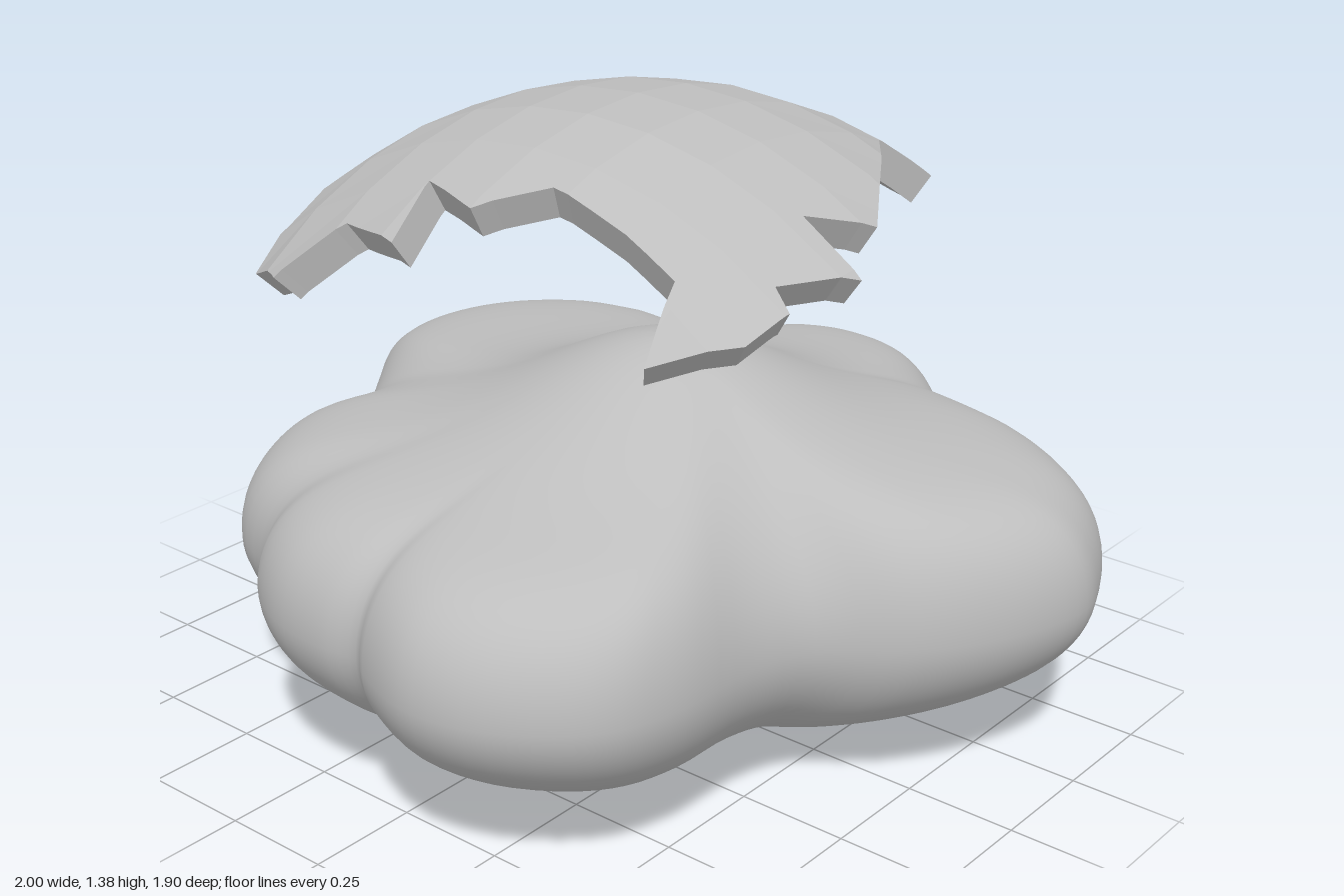
import * as THREE from 'three';

// Outline of the body at its widest level (x, z)
const OUTLINE = [
  [-0.05, -0.95], [0.08, -0.94], [0.20, -0.88], [0.30, -0.79], [0.35, -0.74], [0.42, -0.73],
  [0.55, -0.69], [0.70, -0.63], [0.80, -0.57], [0.90, -0.48], [0.97, -0.35], [1.00, -0.25],
  [0.97, -0.10], [0.90, 0.04], [0.82, 0.14], [0.68, 0.26], [0.63, 0.40], [0.62, 0.60],
  [0.58, 0.74], [0.50, 0.84], [0.35, 0.93], [0.20, 0.95], [0.05, 0.90], [0.00, 0.87],
  [-0.10, 0.88], [-0.25, 0.86], [-0.38, 0.79], [-0.45, 0.71], [-0.60, 0.64], [-0.70, 0.53],
  [-0.77, 0.38], [-0.77, 0.23], [-0.78, 0.12], [-0.82, 0.05], [-0.90, -0.06], [-0.97, -0.16],
  [-1.00, -0.30], [-0.97, -0.45], [-0.90, -0.56], [-0.77, -0.66], [-0.60, -0.70],
  [-0.48, -0.71], [-0.35, -0.75], [-0.22, -0.86], [-0.14, -0.92],
];

// Lumpy body: rings of the outline shrinking to the belly below and the hump above
function bodyGeometry() {
  const around = 180, rows = 64, waist = 0.41, hump = [0.14, 0.07];
  const curve = new THREE.CatmullRomCurve3(OUTLINE.map(([x, z]) => new THREE.Vector3(x, 0, z)), true);
  const points = [], index = [];
  for (let j = 0; j <= rows; j++) {
    const phi = (j / rows - 0.5) * Math.PI;
    const u = Math.cos(phi), above = phi > 0;
    for (let i = 0; i < around; i++) {
      const p = curve.getPoint(i / around);
      const reach = Math.hypot(p.x, p.z);
      p.multiplyScalar(u);
      let y;
      if (above) {
        p.x += hump[0] * (1 - u);
        p.z += hump[1] * (1 - u);
        const r = Math.hypot(p.x - hump[0], p.z - hump[1]);
        // lobes keep a full round rim, the hollows between them slope more gently
        const power = THREE.MathUtils.clamp(4 + (reach - 0.72) * 20, 4, 8);
        y = waist + Math.sqrt(1 - u ** power) * (0.25 + 0.24 * Math.exp(-((r / 0.4) ** 2)));
      } else {
        y = waist * (1 - Math.sqrt(1 - u ** 1.8));
      }
      points.push(p.setY(y));
      if (j < rows) {
        const a = j * around + i, b = j * around + (i + 1) % around;
        index.push(a, a + around, b, b, a + around, b + around);
      }
    }
  }
  const geo = new THREE.BufferGeometry().setFromPoints(points);
  geo.setIndex(index);
  geo.computeVertexNormals();
  return geo;
}

// Jagged rim of the shell fragment (x, z)
const RIM = [
  [-0.07, -0.81], [0.06, -0.71], [0.18, -0.59], [0.34, -0.61], [0.29, -0.47],
  [0.42, -0.29], [0.59, -0.03], [0.51, 0.11], [0.66, 0.12], [0.58, 0.29], [0.63, 0.31],
  [0.61, 0.42], [0.50, 0.58], [0.45, 0.43], [0.12, 0.40], [0.00, 0.51], [-0.16, 0.46],
  [-0.12, 0.61], [-0.30, 0.56], [-0.43, 0.65], [-0.58, 0.57], [-0.65, 0.20],
  [-0.66, -0.12], [-0.52, -0.03], [-0.50, -0.37], [-0.34, -0.44], [-0.30, -0.61], [-0.11, -0.66],
];
const RADIUS = 1.1, CENTRE_Y = 1.385 - RADIUS, THICK = 0.075, CELL = 0.16;

// Cut a convex polygon along the line where side(v) is zero
function split(poly, side) {
  const low = [], high = [];
  poly.forEach((v, i) => {
    const w = poly[(i + 1) % poly.length];
    const a = side(v), b = side(w);
    if (a <= 1e-6) low.push(v);
    if (a >= -1e-6) high.push(v);
    if ((a < -1e-6 && b > 1e-6) || (a > 1e-6 && b < -1e-6)) {
      const cut = v.clone().lerp(w, a / (a - b));
      low.push(cut);
      high.push(cut);
    }
  });
  return [low, high].filter((p) => p.length > 2);
}

// Height of the dome, flat within each triangle of a grid
function facetHeight(x, z) {
  const i = Math.floor(x / CELL), k = Math.floor(z / CELL);
  const fx = x / CELL - i, fz = z / CELL - k;
  const h = (di, dk) =>
    Math.sqrt(RADIUS ** 2 - ((i + di) * CELL) ** 2 - ((k + dk) * CELL) ** 2);
  if (fx + fz < 1) return h(0, 0) * (1 - fx - fz) + h(1, 0) * fx + h(0, 1) * fz;
  return h(1, 1) * (fx + fz - 1) + h(0, 1) * (1 - fx) + h(1, 0) * (1 - fz);
}

// Faceted shell: the extruded rim, cut along the grid and raised to the dome
function shellGeometry() {
  const shape = new THREE.Shape(RIM.map(([x, z]) => new THREE.Vector2(x, -z)));
  const flat = new THREE.ExtrudeGeometry(shape, { depth: THICK, bevelEnabled: false });
  flat.rotateX(-Math.PI / 2).translate(0, -THICK, 0);
  const src = flat.attributes.position;
  let polys = [];
  for (let i = 0; i < src.count; i += 3)
    polys.push([0, 1, 2].map((k) => new THREE.Vector3().fromBufferAttribute(src, i + k)));
  for (let n = -8; n <= 8; n++) {
    const sides = [(v) => v.x - n * CELL, (v) => v.z - n * CELL, (v) => v.x + v.z - n * CELL];
    for (const side of sides) polys = polys.flatMap((p) => split(p, side));
  }
  const points = [];
  for (const poly of polys) {
    const bent = poly.map((v) => {
      const s = (RADIUS + v.y) / RADIUS;
      return new THREE.Vector3(v.x * s, CENTRE_Y + facetHeight(v.x, v.z) * s, v.z * s);
    });
    for (let i = 1; i < bent.length - 1; i++) points.push(bent[0], bent[i], bent[i + 1]);
  }
  const geo = new THREE.BufferGeometry().setFromPoints(points);
  geo.computeVertexNormals();
  return geo;
}

export function createModel() {
  const grey = new THREE.MeshStandardMaterial({ color: 0xbebebe });
  grey.name = 'plain grey';
  const model = new THREE.Group();
  model.name = 'blobUnderShell';
  const parts = { lumpyBody: bodyGeometry(), brokenShell: shellGeometry() };
  for (const [name, geo] of Object.entries(parts)) {
    const mesh = new THREE.Mesh(geo, grey);
    mesh.name = name;
    model.add(mesh);
  }
  return model;
}
